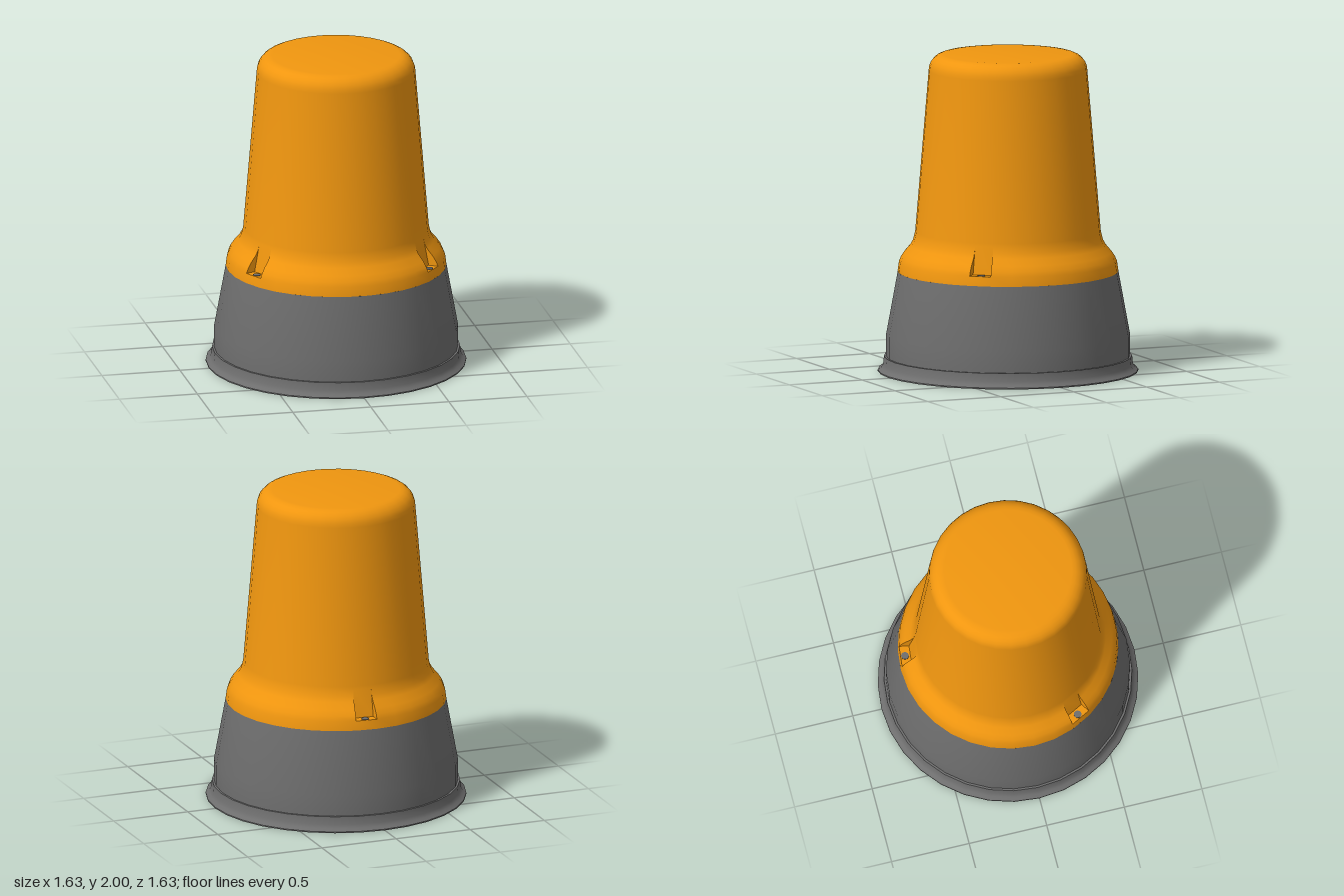
import * as THREE from 'three';
import { mergeGeometries, toCreasedNormals } from 'three/addons/utils/BufferGeometryUtils.js';

const points = (list) => list.map(([r, y]) => new THREE.Vector2(r, y));

// Strip to plain triangles so pieces can be merged and re-shaded together
function plain(geometry) {
  const g = geometry.index ? geometry.toNonIndexed() : geometry;
  g.deleteAttribute('uv');
  g.deleteAttribute('normal');
  return g;
}

const lathe = (list, segments, start = 0, length = Math.PI * 2) =>
  plain(new THREE.LatheGeometry(points(list), segments, start, length));

export function createModel() {
  const group = new THREE.Group();
  const orange = new THREE.MeshStandardMaterial({ color: 0xf0960f, side: THREE.DoubleSide });
  const grey = new THREE.MeshStandardMaterial({ color: 0x6e6e6e });

  const add = (name, geometry, material) => {
    const mesh = new THREE.Mesh(geometry, material);
    mesh.name = name;
    group.add(mesh);
    return mesh;
  };

  // Base: flared foot, small ledge, short collar and tapered wall
  const base = lathe([
    [0, 0], [0.815, 0], [0.815, 0.008], [0.793, 0.024], [0.781, 0.045], [0.776, 0.095],
    [0.763, 0.095], [0.763, 0.23], [0.69, 0.63], [0, 0.63],
  ], 32);
  add('base', toCreasedNormals(base, 0.6), grey);

  // Dome profile, with a shoulder that the screw pockets cut into
  const skirt = [[0.69, 0.63], [0.682, 0.69]];
  const shoulder = [[0.669, 0.72], [0.648, 0.752], [0.612, 0.794], [0.594, 0.825]];
  const upper = [[0.584, 0.865], [0.58, 0.885], [0.496, 1.9]];
  for (let i = 1; i <= 6; i++) {
    const a = (i / 6) * Math.PI / 2;
    upper.push([0.4 + 0.096 * Math.cos(a), 1.9 + 0.1 * Math.sin(a)]);
  }
  upper.push([0, 2]);
  const pocketFoot = [0.62, 0.69];

  // Full-profile sectors alternate with narrow pocket sectors
  const pockets = [50.9, 174.3, 298].map(THREE.MathUtils.degToRad);
  const half = 0.1;
  const pieces = [];
  pockets.forEach((angle, i) => {
    const next = i < 2 ? pockets[i + 1] : pockets[0] + Math.PI * 2;
    pieces.push(lathe([...skirt, ...shoulder, ...upper], 10, angle + half, next - angle - 2 * half));
    pieces.push(lathe([...skirt, pocketFoot, ...upper], 1, angle - half, 2 * half));

    // Pocket side walls
    for (const side of [-half, half]) {
      const wall = new THREE.ShapeGeometry(
        new THREE.Shape(points([pocketFoot, skirt[1], ...shoulder, upper[0]])));
      pieces.push(plain(wall.rotateY(angle + side - Math.PI / 2)));
    }

    // Screw in the pocket floor
    const screw = add('screw' + (i + 1), new THREE.CylinderGeometry(0.024, 0.024, 0.012, 16), grey);
    screw.position.set(0.651 * Math.sin(angle), 0.688, 0.651 * Math.cos(angle));
  });
  add('dome', toCreasedNormals(mergeGeometries(pieces), 0.6), orange);

  return group;
}
